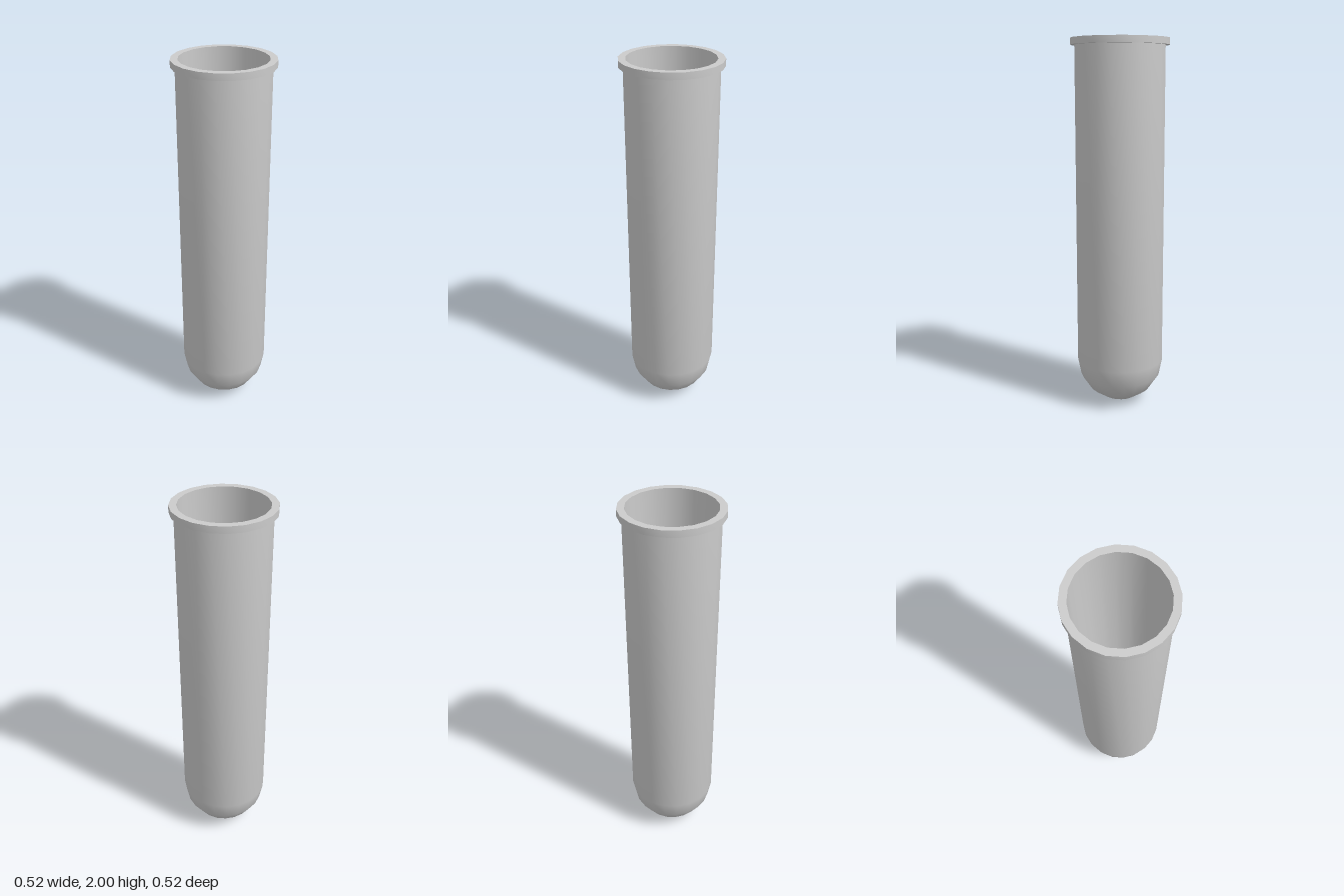
import * as THREE from 'three';
import { toCreasedNormals } from 'three/addons/utils/BufferGeometryUtils.js';

const SIDES = 20;
const DOME_STEPS = 4;
const HEIGHT = 2;
const OUTER = 0.24;
const INNER = 0.225;
const RIM = 0.262;
const RIM_BOTTOM = 1.965;

// Quarter-circle profile from the pole (i = 0) up to the wall (i = DOME_STEPS)
function domePoint(radius, i) {
  const a = (i / DOME_STEPS) * Math.PI / 2;
  return new THREE.Vector2(radius * Math.sin(a), OUTER - radius * Math.cos(a));
}

export function createModel() {
  const group = new THREE.Group();
  group.name = 'testTube';
  const material = new THREE.MeshStandardMaterial({ color: 0xcccccc, side: THREE.DoubleSide });

  function addLathe(name, points) {
    const geometry = toCreasedNormals(new THREE.LatheGeometry(points, SIDES), Math.PI / 6);
    const mesh = new THREE.Mesh(geometry, material);
    mesh.name = name;
    group.add(mesh);
  }

  // Outer wall with its rounded bottom
  const outer = [];
  for (let i = 0; i <= DOME_STEPS; i++) outer.push(domePoint(OUTER, i));
  outer.push(new THREE.Vector2(OUTER, RIM_BOTTOM));
  addLathe('outerWall', outer);

  // Flat lip around the mouth
  addLathe('rim', [
    new THREE.Vector2(OUTER, RIM_BOTTOM),
    new THREE.Vector2(RIM, RIM_BOTTOM),
    new THREE.Vector2(RIM, HEIGHT),
    new THREE.Vector2(INNER, HEIGHT),
  ]);

  // Hollow inside: slightly tapered wall running into the bowl
  const inner = [new THREE.Vector2(INNER, HEIGHT)];
  for (let i = DOME_STEPS - 1; i >= 0; i--) inner.push(domePoint(INNER, i));
  addLathe('innerWall', inner);

  return group;
}
